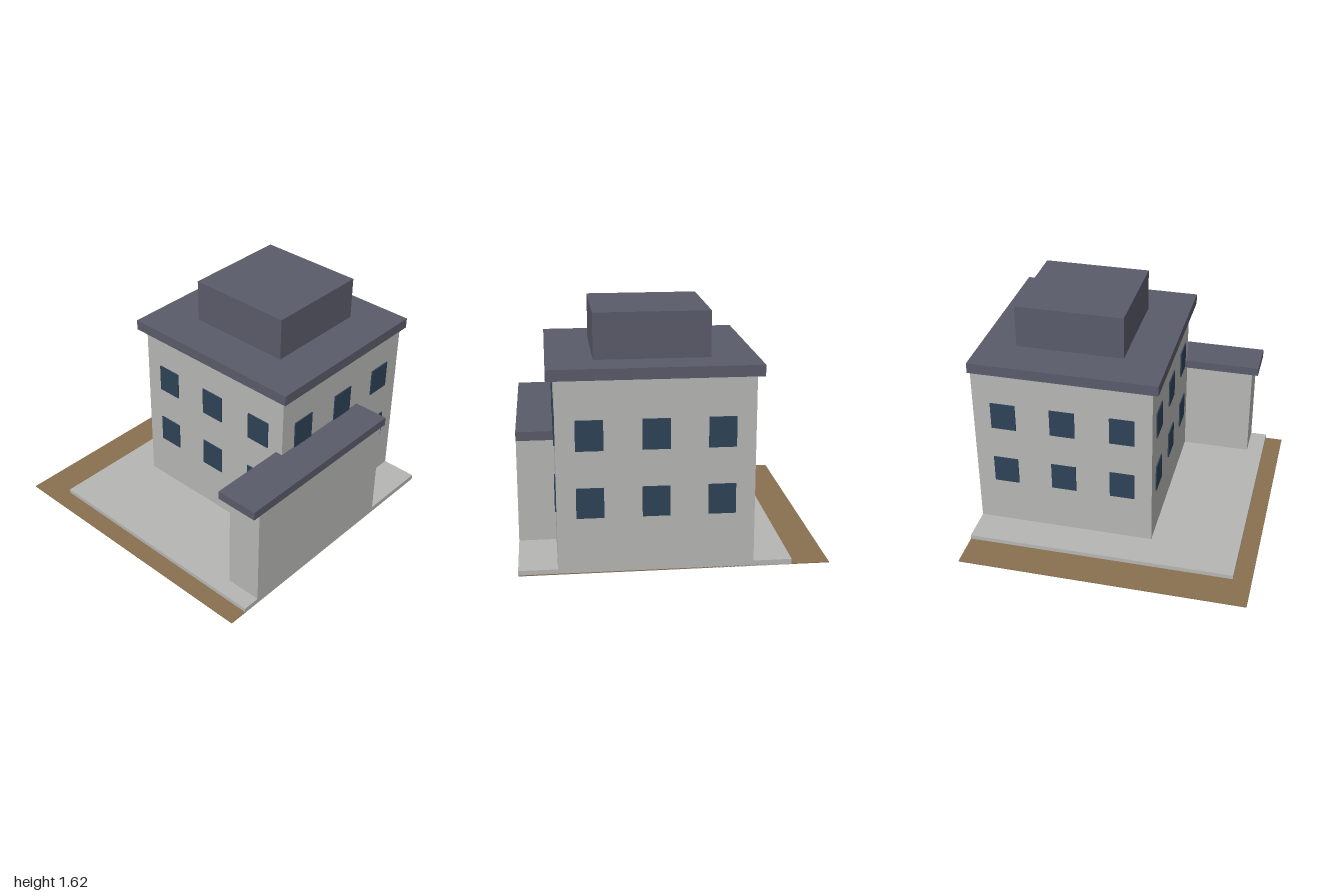
import * as THREE from 'three';

const flat = (name, color) => {
  const m = new THREE.MeshStandardMaterial({ color });
  m.name = name;
  return m;
};

export function createModel() {
  const wall = flat('concrete grey', 0xb6b6b4);
  const roof = flat('slate roof', 0x5a5b6a);
  const earth = flat('bare earth', 0x8a7150);
  const glass = flat('window blue', 0x2e4257);
  const model = new THREE.Group();
  model.name = 'house';

  // Box given by its extents along each axis
  const block = (name, material, [x0, x1], [y0, y1], [z0, z1], parent = model) => {
    const mesh = new THREE.Mesh(new THREE.BoxGeometry(x1 - x0, y1 - y0, z1 - z0), material);
    mesh.position.set((x0 + x1) / 2, (y0 + y1) / 2, (z0 + z1) / 2);
    mesh.name = name;
    parent.add(mesh);
  };

  const back = -0.992, side = 0.996;

  // Plot and paved base
  block('ground', earth, [-side, side], [0.001, 0.007], [back, 1]);
  block('pavedBase', wall, [-0.75, side], [0, 0.037], [back, 0.873]);

  // Main building, flush with the back of the plot
  block('mainWalls', wall, [-0.5, 0.747], [0.037, 1.25], [back, 0.255]);
  block('mainRoof', roof, [-0.55, 0.796], [1.25, 1.322], [back, 0.302]);
  block('roofBox', roof, [-0.25, 0.496], [1.322, 1.62], [-0.743, 0.003]);

  // Side annex
  block('annexWalls', wall, [0.747, side], [0.037, 0.75], [-0.49, 0.753]);
  block('annexRoof', roof, [0.697, side], [0.75, 0.81], [-0.543, 0.802]);

  // Windows: three columns and two storeys on each wall
  const windows = new THREE.Group();
  windows.name = 'windows';
  model.add(windows);
  const t = 0.008, half = 0.087;
  for (const y of [0.372, 0.808]) {
    const rows = [y, y + 0.196];
    [-0.29, 0.124, 0.538].forEach((x) => {
      const span = [x - half, x + half];
      block('frontWindow', glass, span, rows, [0.255, 0.255 + t], windows);
      block('backWindow', glass, span, rows, [back - t, back], windows);
    });
    [-0.78, -0.366, 0.048].forEach((z, i) => {
      const span = [z - half, z + half];
      block('westWindow', glass, [-0.5 - t, -0.5], rows, span, windows);
      // The annex covers the lower front openings on this wall
      if (y > 0.5 || i === 0) block('eastWindow', glass, [0.747, 0.747 + t], rows, span, windows);
    });
  }
  return model;
}
